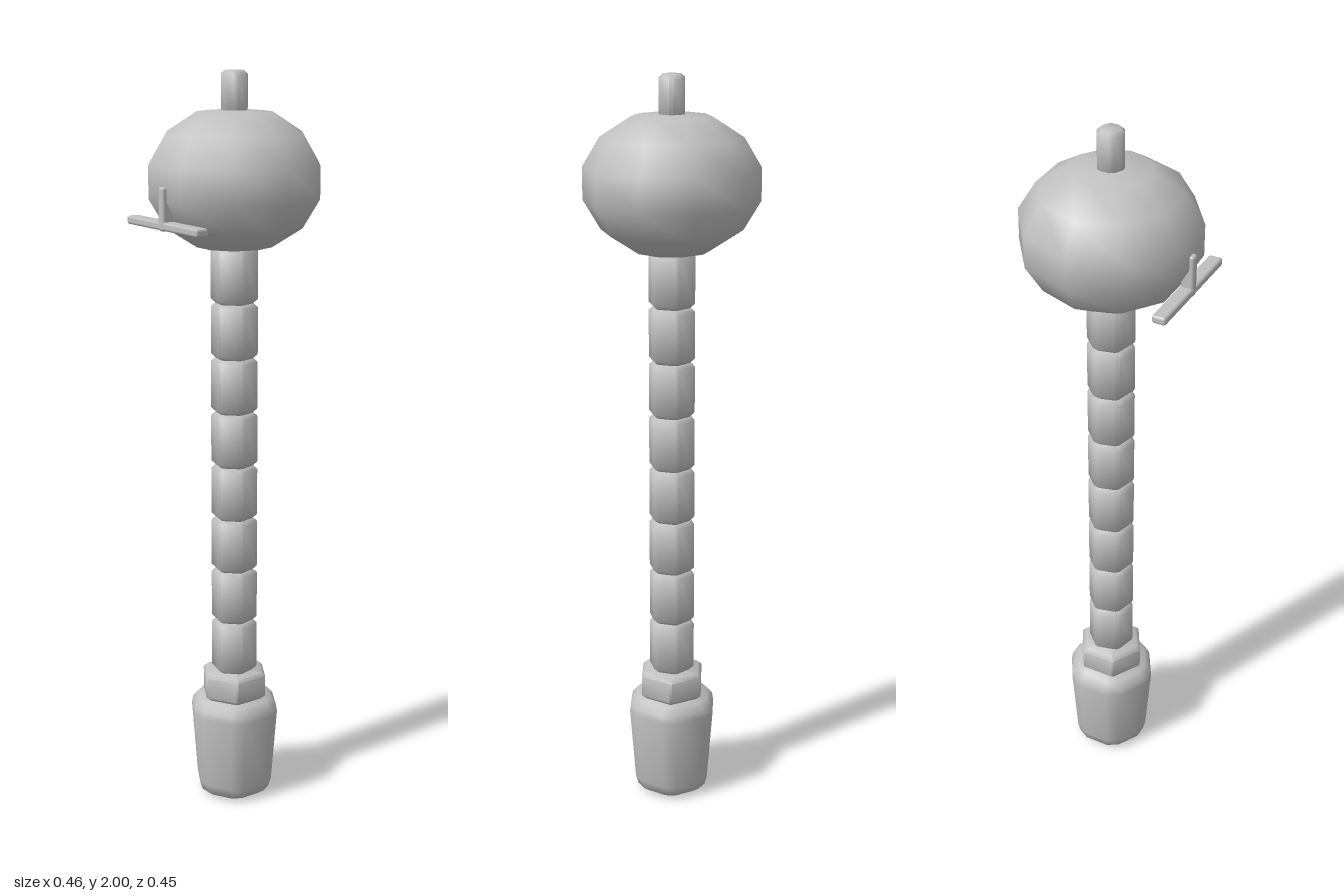
import * as THREE from 'three';
import { toCreasedNormals } from 'three/addons/utils/BufferGeometryUtils.js';
import { RoundedBoxGeometry } from 'three/addons/geometries/RoundedBoxGeometry.js';

const rad = THREE.MathUtils.degToRad;

// Hexagonal prism with bevelled corners, lofted along a profile of [apothem, y].
// cut: half angle of the corner bevel; turn: direction of a corner, both in degrees.
function hexLoft(profile, cut, turn) {
  const n = profile.length;
  const geo = new THREE.LatheGeometry(profile.map(([r, y]) => new THREE.Vector2(r, y)), 12);
  const pos = geo.attributes.position;
  for (let i = 0; i <= 12; i++) {
    const k = i % 12;
    const angle = rad(Math.floor(k / 2) * 60 + (k % 2 ? cut : -cut));
    for (let j = 0; j < n; j++) {
      const r = profile[j][0] / Math.cos(rad(30 - cut));
      pos.setXYZ(i * n + j, r * Math.sin(angle), profile[j][1], r * Math.cos(angle));
    }
  }
  geo.rotateY(rad(turn));
  return toCreasedNormals(geo, 0.95);
}

// Straight profile with bevelled ends
const barrel = (r, y0, y1, b) => [
  [0, y0], [r - b, y0], [r, y0 + b], [r, y1 - b], [r - b, y1], [0, y1],
];

export function createModel() {
  const model = new THREE.Group();
  model.name = 'staff';
  const grey = new THREE.MeshStandardMaterial({ color: 0xc0c0c0 });
  grey.name = 'grey';

  // Everything on the shaft's axis
  const column = new THREE.Group();
  column.name = 'column';
  column.position.z = -0.007;
  model.add(column);

  const add = (name, geo, parent = column) => {
    const mesh = new THREE.Mesh(geo, grey);
    mesh.name = name;
    parent.add(mesh);
    return mesh;
  };

  // Tapered foot and the collar above it
  add('foot', hexLoft([
    [0, 0], [0.078, 0.004], [0.094, 0.016], [0.101, 0.042],
    [0.116, 0.248], [0.113, 0.268], [0.098, 0.287], [0, 0.29],
  ], 10, 0));
  add('collar', hexLoft(barrel(0.082, 0.288, 0.366, 0.01), 2, 0));

  // Shaft of eight blocks, turned alternately
  const count = 8, bottom = 0.366, pitch = 0.148;
  for (let i = 0; i < count; i++) {
    const y = bottom + i * pitch;
    add('shaftBlock' + (i + 1),
      hexLoft(barrel(0.0565, y, y + pitch, 0.011), 5, i % 2 ? -45 : -15 + 90 - 60 + 0));
  }

  // Faceted round head
  const rings = 7, outline = [];
  for (let i = 0; i <= rings; i++) {
    const t = Math.PI * (1 - i / rings);
    const pole = i === 0 || i === rings;
    outline.push(new THREE.Vector2(
      pole ? 0 : 0.236 * Math.sin(t),
      1.724 + (pole ? 0.18 : 0.19) * Math.cos(t)));
  }
  add('head', new THREE.LatheGeometry(outline, 10, Math.PI / 2));

  // Peg on top
  add('topPeg', hexLoft(barrel(0.033, 1.88, 2.0, 0.009), 10, 0));

  // Mouth bar and upright on the front of the head
  const face = new THREE.Group();
  face.name = 'face';
  model.add(face);
  add('mouthBar', new RoundedBoxGeometry(0.32, 0.022, 0.038, 1, 0.007), face)
    .position.set(0, 1.621, 0.2045);
  add('noseBar', new RoundedBoxGeometry(0.024, 0.112, 0.036, 1, 0.007), face)
    .position.set(0, 1.664, 0.2055);

  return model;
}
